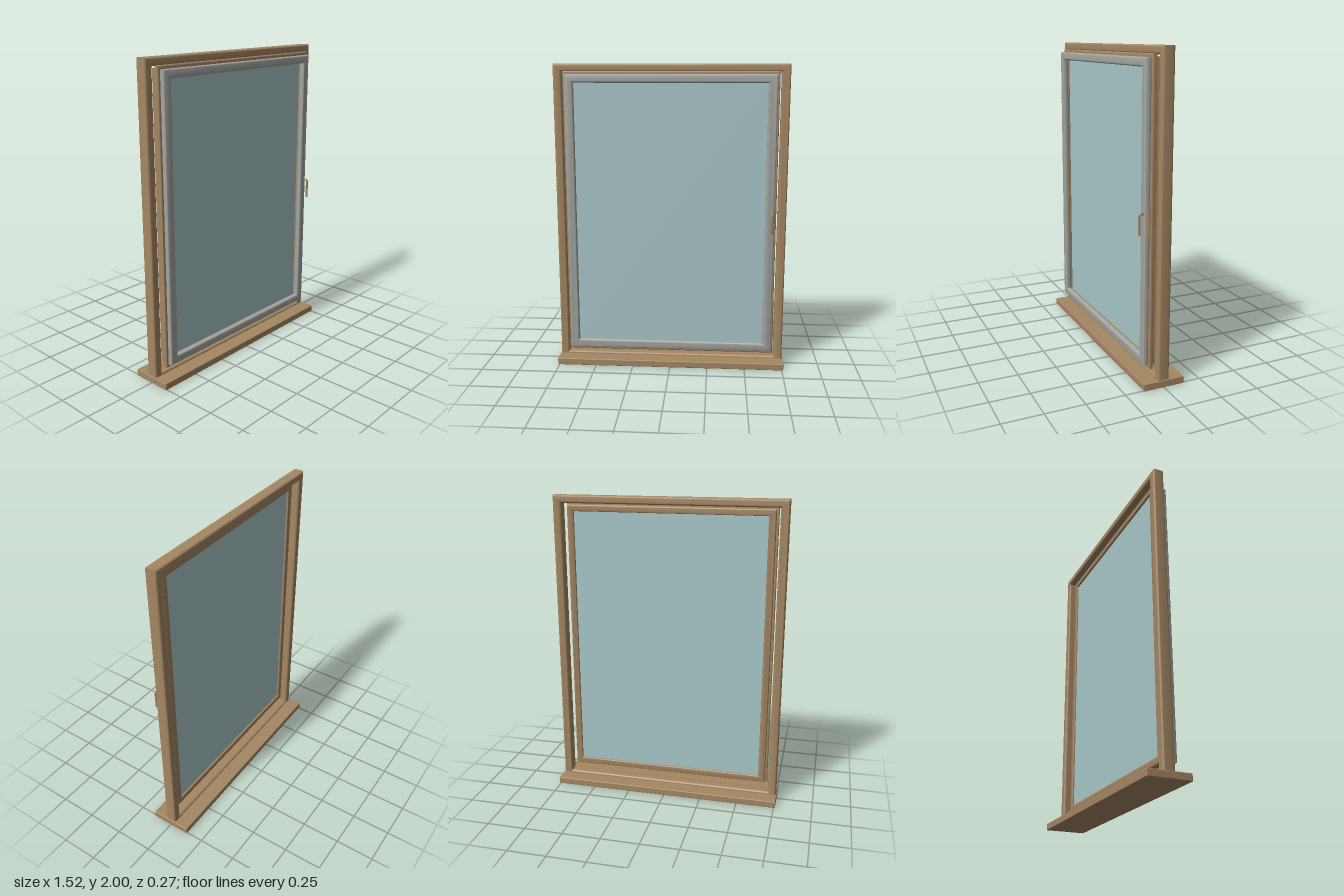
import * as THREE from 'three';
import { toCreasedNormals } from 'three/addons/utils/BufferGeometryUtils.js';
import { RoundedBoxGeometry } from 'three/addons/geometries/RoundedBoxGeometry.js';

const wood = new THREE.MeshStandardMaterial({ color: 0xa58763 });
const grey = new THREE.MeshStandardMaterial({ color: 0xa3a6a1 });
const glass = new THREE.MeshStandardMaterial({ color: 0xa9c8c9 });

// Rectangle path between two heights, symmetric in x
function rect(PathType, halfWidth, y0, y1) {
  const p = new PathType();
  p.moveTo(-halfWidth, y0);
  p.lineTo(halfWidth, y0);
  p.lineTo(halfWidth, y1);
  p.lineTo(-halfWidth, y1);
  p.closePath();
  return p;
}

// Mitred rectangular frame with rounded edges; outer and inner are [halfWidth, y0, y1]
function frame(name, outer, inner, z0, z1, round, material) {
  const shape = rect(THREE.Shape, ...outer);
  shape.holes.push(rect(THREE.Path, ...inner));
  const geo = new THREE.ExtrudeGeometry(shape, {
    depth: z1 - z0 - 2 * round,
    bevelThickness: round, bevelSize: round, bevelOffset: -round, bevelSegments: 4,
  });
  geo.translate(0, 0, z0 + round);
  const mesh = new THREE.Mesh(toCreasedNormals(geo, 0.6), material);
  mesh.name = name;
  return mesh;
}

// Rounded box given by its minimum and maximum corners
function block(name, min, max, round, material) {
  const size = max.map((v, i) => v - min[i]);
  const mesh = new THREE.Mesh(new RoundedBoxGeometry(...size, 3, round), material);
  mesh.position.set(...max.map((v, i) => (v + min[i]) / 2));
  mesh.name = name;
  return mesh;
}

export function createModel() {
  const model = new THREE.Group();
  model.name = 'window';

  // Fixed outer frame and sill board
  model.add(frame('outerFrame', [0.755, 0.01, 2], [0.7, 0.06, 1.95], -0.038, 0.036, 0.012, wood));
  model.add(block('sill', [-0.76, 0, -0.136], [0.76, 0.045, 0.134], 0.005, wood));

  // Opening sash: rebated body, overlapping flange, grey cladding and glazing
  const sash = new THREE.Group();
  sash.name = 'sash';
  sash.add(frame('sashBody', [0.672, 0.112, 1.938], [0.628, 0.156, 1.896], -0.005, 0.042, 0.008, wood));
  sash.add(frame('sashFlange', [0.687, 0.095, 1.955], [0.625, 0.16, 1.893], 0.036, 0.064, 0.008, wood));
  sash.add(frame('sashCladding', [0.673, 0.117, 1.935], [0.615, 0.172, 1.882], 0.06, 0.097, 0.012, grey));
  const pane = new THREE.Mesh(new THREE.BoxGeometry(1.27, 1.75, 0.04), glass);
  pane.position.set(0, 1.026, 0.028);
  pane.name = 'glassPane';
  sash.add(pane);
  model.add(sash);

  // Handle: back plate and a lever that bends down
  const handle = new THREE.Group();
  handle.name = 'handle';
  handle.add(block('handlePlate', [0.664, 0.92, 0.06], [0.678, 1.105, 0.075], 0.004, wood));
  const bend = new THREE.CurvePath();
  const v = (y, z) => new THREE.Vector3(0.657, y, z);
  bend.add(new THREE.LineCurve3(v(1.058, 0.07), v(1.058, 0.108)));
  bend.add(new THREE.QuadraticBezierCurve3(v(1.058, 0.108), v(1.058, 0.123), v(1.043, 0.123)));
  bend.add(new THREE.LineCurve3(v(1.043, 0.123), v(0.94, 0.123)));
  const lever = new THREE.Mesh(new THREE.TubeGeometry(bend, 40, 0.0075, 10), wood);
  lever.name = 'handleLever';
  handle.add(lever);
  const tip = new THREE.Mesh(new THREE.SphereGeometry(0.0075, 10, 8), wood);
  tip.position.copy(v(0.94, 0.123));
  tip.name = 'handleTip';
  handle.add(tip);
  model.add(handle);

  return model;
}
